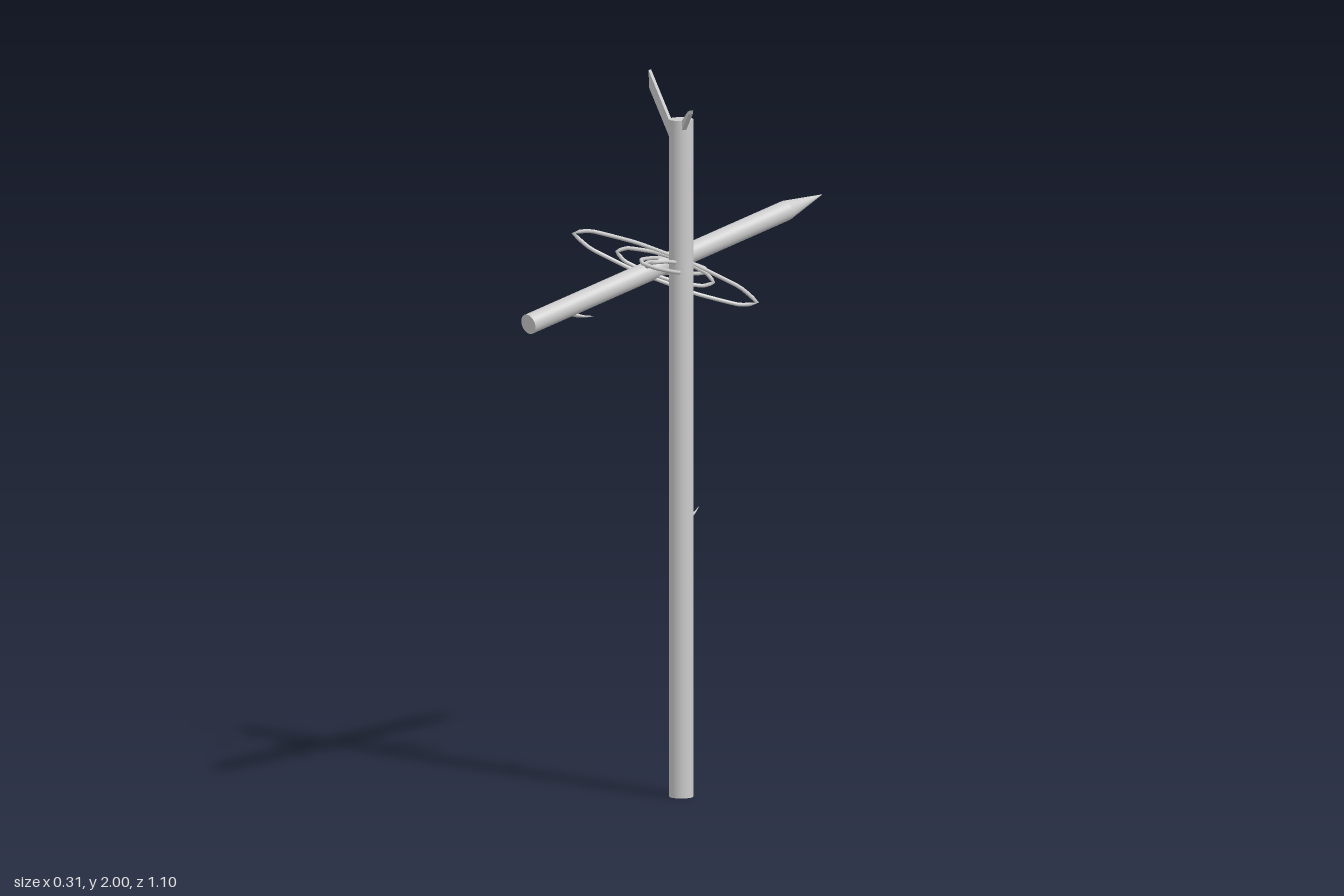
import * as THREE from 'three';

const mat = new THREE.MeshStandardMaterial({ color: 0xcccccc, side: THREE.DoubleSide });
const v = (x, y, z) => new THREE.Vector3(x, y, z);

export function createModel() {
  const model = new THREE.Group();
  const add = (name, geometry) => {
    const mesh = new THREE.Mesh(geometry, mat);
    mesh.name = name;
    model.add(mesh);
    return mesh;
  };

  // Upright post
  add('post', new THREE.CylinderGeometry(0.033, 0.033, 1.875, 32)).position.set(0.033, 0.9375, 0.033);

  // Tilted crossbeam, sharpened at the back end
  const front = v(-0.028, 1.36, 0.545), tip = v(-0.028, 1.59, -0.55);
  const length = front.distanceTo(tip);
  const profile = [[0, 0], [0.028, 0], [0.028, 0], [0.028, length - 0.14], [0.028, length - 0.14], [0, length]]
    .map(([r, y]) => new THREE.Vector2(r, y));
  const beam = add('crossbeam', new THREE.LatheGeometry(profile, 32));
  beam.position.copy(front);
  beam.quaternion.setFromUnitVectors(v(0, 1, 0), tip.clone().sub(front).normalize());

  // Flat splinters at the top of the post
  const splinter = (name, points, depth) => {
    const shape = new THREE.Shape(points.map(([x, y]) => new THREE.Vector2(x, y)));
    const geometry = new THREE.ExtrudeGeometry(shape, { depth, bevelEnabled: false });
    geometry.translate(0, 0, -depth / 2);
    return add(name, geometry);
  };
  const tall = splinter('tallSplinter', [[0.01, 1.81], [0.01, 1.855], [-0.075, 2], [-0.072, 1.95]], 0.011);
  tall.position.z = 0.044;
  tall.rotation.y = 0.08;
  const short = splinter('shortSplinter', [[0, 1.845], [0.08, 1.907], [0.085, 1.917], [0.07, 1.912], [0, 1.873]], 0.012);
  short.position.set(0.055, 0, 0.045);
  short.rotation.y = -0.5;

  // Curved tapering twig stubs
  const twig = (name, a, b, c, radius) => {
    const curve = new THREE.QuadraticBezierCurve3(a, b, c);
    const rows = 8;
    const geometry = new THREE.TubeGeometry(curve, rows, radius, 8);
    const pos = geometry.attributes.position;
    const p = v(0, 0, 0);
    for (let i = 0; i < pos.count; i++) {
      const t = Math.floor(i / 9) / rows;
      const centre = curve.getPointAt(t);
      p.fromBufferAttribute(pos, i).sub(centre).multiplyScalar(1 - 0.95 * t).add(centre);
      pos.setXYZ(i, p.x, p.y, p.z);
    }
    geometry.computeVertexNormals();
    add(name, geometry);
  };
  twig('postTwig', v(0.018, 0.762, 0.012), v(0.004, 0.76, -0.035), v(-0.008, 0.785, -0.07), 0.009);
  twig('beamTwig', v(-0.02, 1.378, 0.4), v(-0.018, 1.358, 0.37), v(-0.012, 1.358, 0.315), 0.008);

  // Loose wire loops binding post and beam: centre and two half axes
  const loops = [
    [v(0, 1.4625, 0.062), v(-0.152, 0.1, 0.2), v(0, 0.042, 0)],
    [v(0.003, 1.465, 0.033), v(0.07, 0.037, 0.18), v(0.035, -0.018, -0.014)],
    [v(-0.008, 1.46, 0.04), v(0.04, 0.03, 0.095), v(0.036, 0.01, -0.028)],
    [v(0, 1.465, 0.062), v(-0.08, 0.045, 0.105), v(0.005, 0.03, -0.007)],
  ];
  loops.forEach(([centre, u, w], k) => {
    const points = [];
    for (let i = 0; i < 10; i++) {
      const a = (i / 10) * Math.PI * 2;
      points.push(centre.clone().addScaledVector(u, Math.cos(a)).addScaledVector(w, Math.sin(a)));
    }
    const curve = new THREE.CatmullRomCurve3(points, true, 'catmullrom', 0.2);
    add('wireLoop' + (k + 1), new THREE.TubeGeometry(curve, 60, 0.0055, 8, true));
  });

  return model;
}
